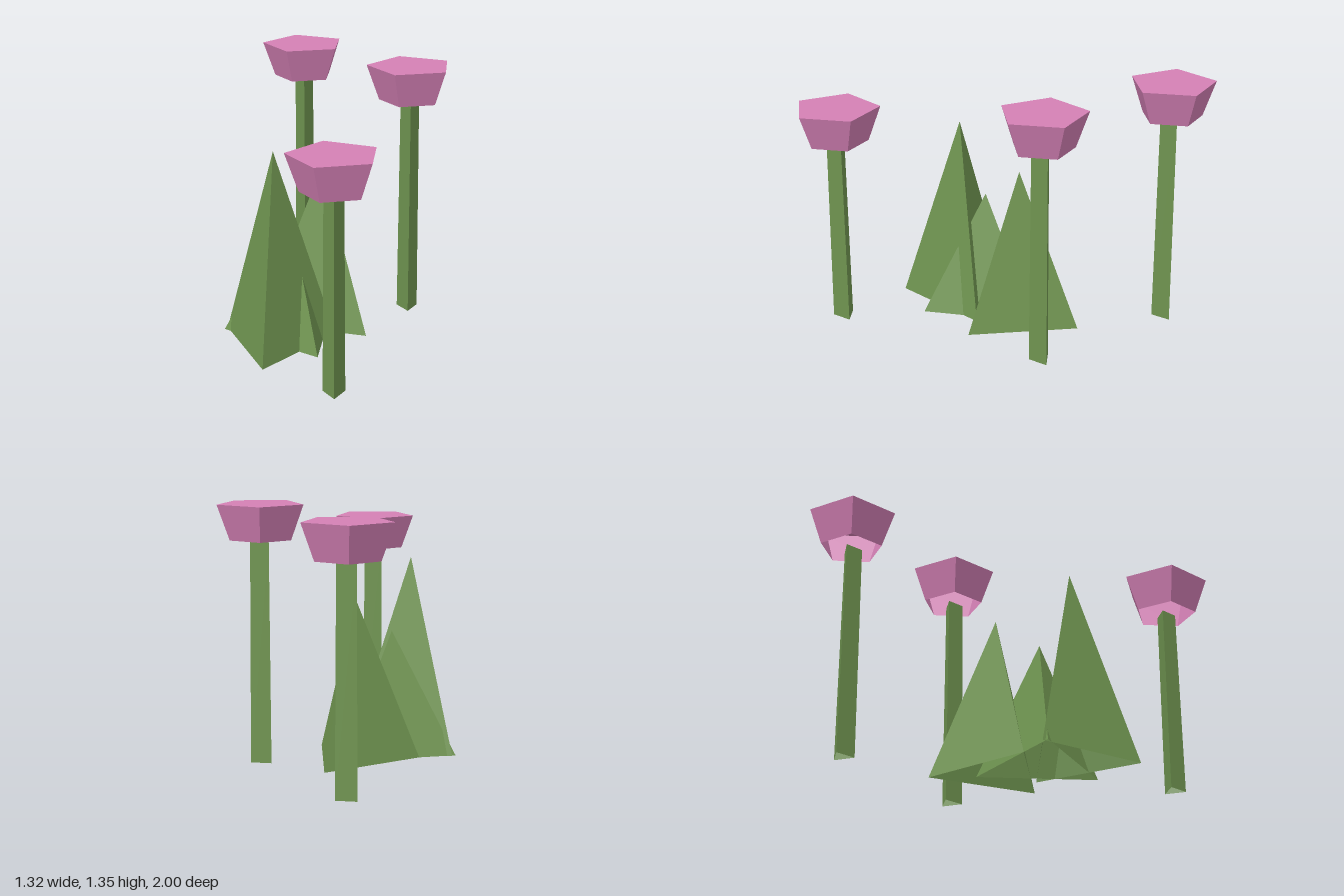
import * as THREE from 'three';

const material = (color) =>
  new THREE.MeshStandardMaterial({ color, flatShading: true, side: THREE.DoubleSide });

// Open-bottomed prism, frustum or pyramid whose first corner points along (dx, dz)
function shell(name, mat, sides, rTop, rBottom, y0, y1, dx, dz) {
  const geometry = new THREE.CylinderGeometry(
    rTop, rBottom, y1 - y0, sides, 1, true, Math.atan2(dx, dz));
  const mesh = new THREE.Mesh(geometry, mat);
  mesh.name = name;
  mesh.position.y = (y0 + y1) / 2;
  return mesh;
}

export function createModel() {
  const model = new THREE.Group();
  model.name = 'flowerPatch';
  const green = material(0x6f9450);
  const pink = material(0xd480b5);

  // Flowers: three-sided stem, five-sided flared head with a flat top
  const flowers = [
    { x: -0.474, z: 0.78, y: 1.01 },
    { x: 0.261, z: -0.783, y: 1.146 },
    { x: 0.43, z: 0.039, y: 1.163 },
  ];
  for (const { x, z, y } of flowers) {
    const flower = new THREE.Group();
    flower.name = 'flower';
    flower.position.set(x, 0, z);
    const top = y + 0.183;
    const petalTop = new THREE.Mesh(new THREE.CircleGeometry(0.2295, 5), pink);
    petalTop.name = 'petalTop';
    petalTop.rotation.x = -Math.PI / 2;
    petalTop.position.y = top;
    flower.add(
      shell('stem', green, 3, 0.056, 0.063, 0, y, 1, 0),
      shell('flowerHead', pink, 5, 0.2295, 0.163, y, top, 1, 0),
      petalTop);
    model.add(flower);
  }

  // Leaves: three overlapping three-sided spikes
  const leaves = [
    { x: -0.427, z: 0.109, r: 0.332, h: 1.03, dx: -0.213, dz: 0.257 },
    { x: -0.047, z: -0.062, r: 0.338, h: 0.85, dx: 0.252, dz: -0.228 },
    { x: -0.285, z: 0.024, r: 0.354, h: 0.652, dx: -0.045, dz: 0.352 },
  ];
  for (const { x, z, r, h, dx, dz } of leaves) {
    const leaf = shell('leaf', green, 3, 0, r, 0, h, dx, dz);
    leaf.position.x = x;
    leaf.position.z = z;
    model.add(leaf);
  }
  return model;
}
